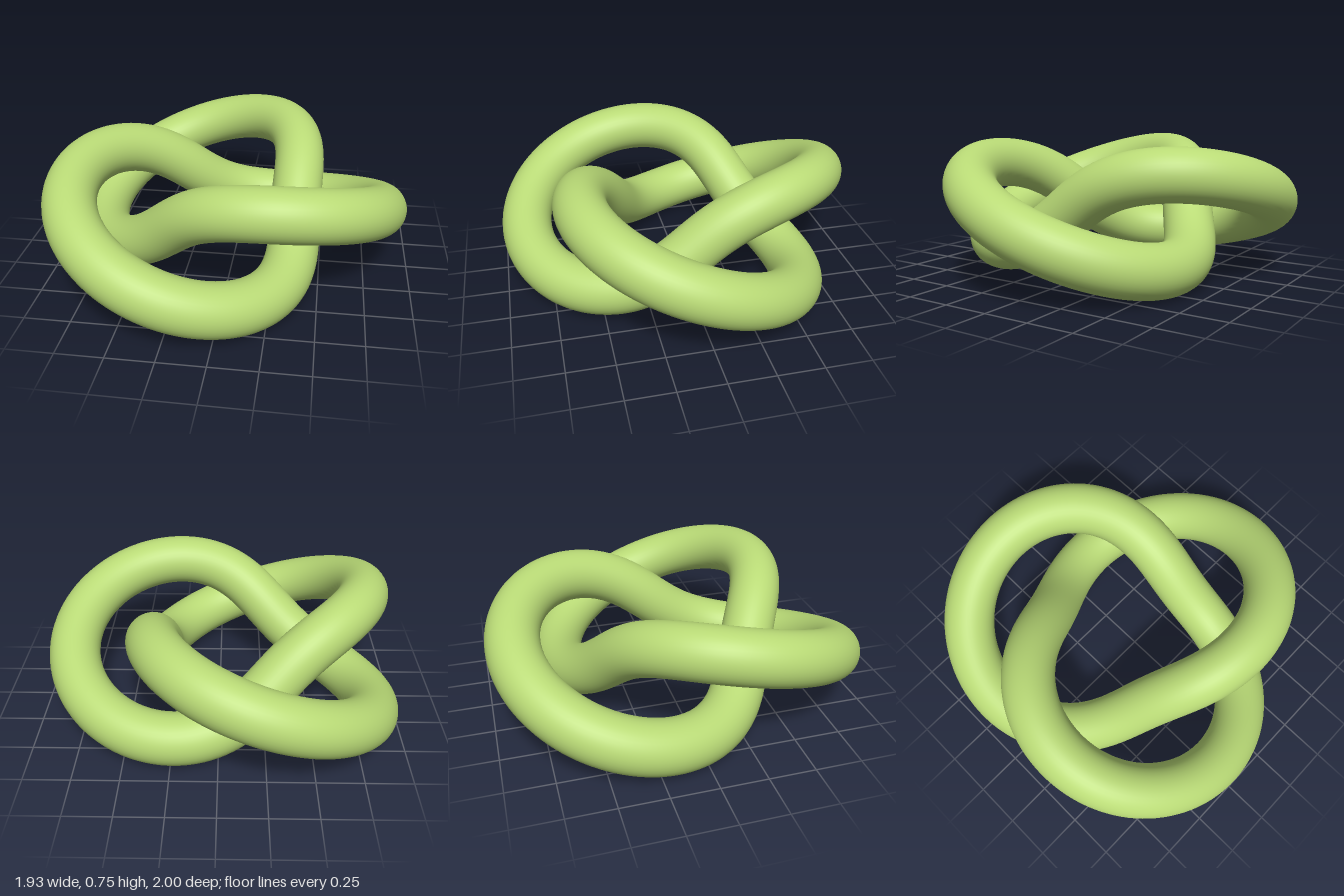
import * as THREE from 'three';

const RING = 0.67;      // radius of the ring the knot winds around
const WIND = 0.2345;    // radius of the winding
const THICK = 0.1405;   // radius of the tube

// Trefoil: two turns round the ring, three turns round its core
class TrefoilCurve extends THREE.Curve {
  getPoint(t, target = new THREE.Vector3()) {
    const a = t * Math.PI * 4;
    const rho = RING + WIND * Math.cos(1.5 * a);
    return target.set(
      rho * Math.cos(a) - 0.085,
      WIND * Math.sin(1.5 * a) + WIND + THICK,
      rho * Math.sin(a)
    );
  }
}

export function createModel() {
  const group = new THREE.Group();
  group.name = 'trefoilKnot';

  const green = new THREE.MeshStandardMaterial({ color: 0xb9da76 });
  green.name = 'light green';

  // Closed tube along the knot
  const curve = new TrefoilCurve();
  curve.arcLengthDivisions = 600;
  const tube = new THREE.Mesh(new THREE.TubeGeometry(curve, 300, THICK, 40, true), green);
  tube.name = 'knotTube';
  group.add(tube);

  return group;
}
